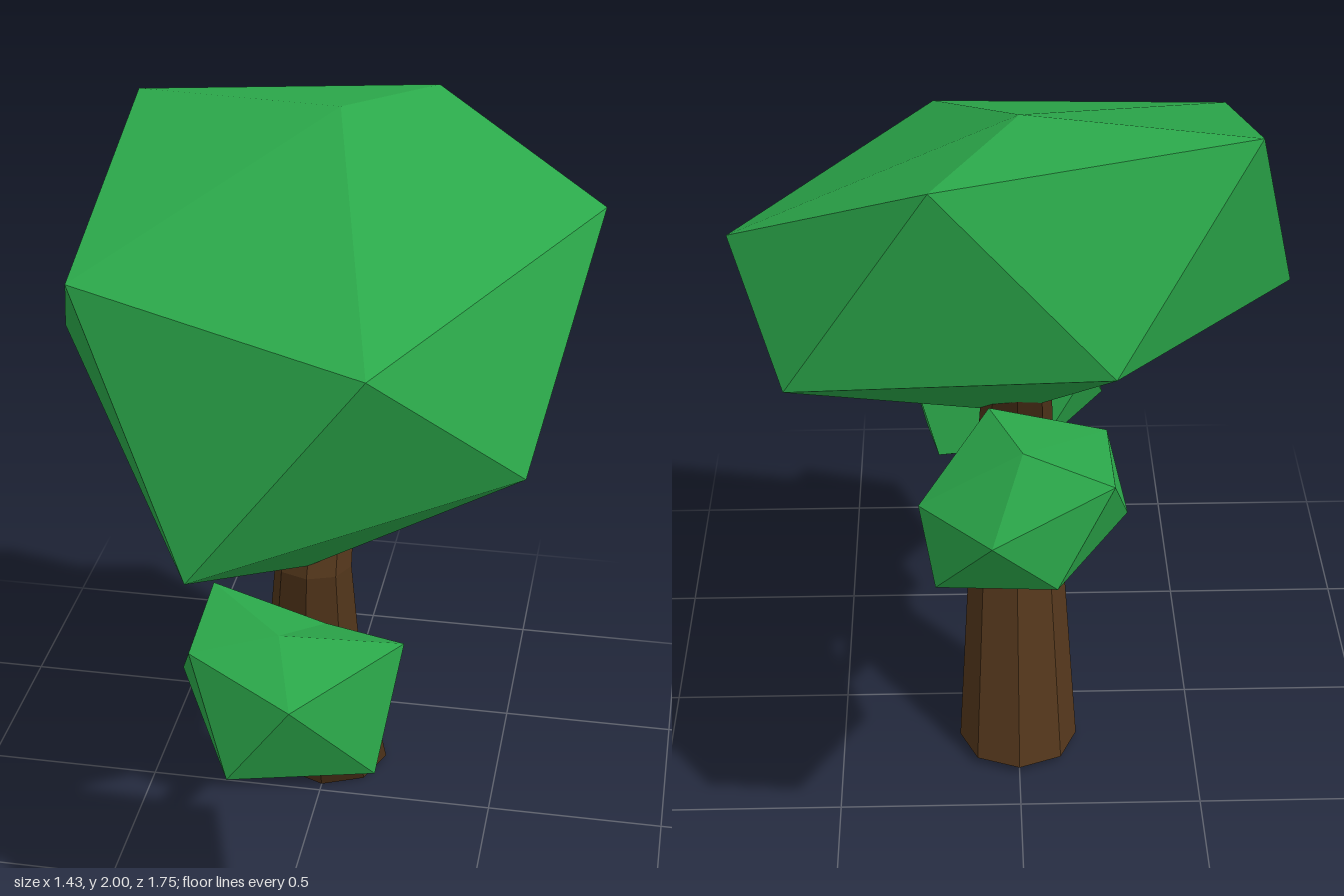
import * as THREE from 'three';

const leafMaterial = new THREE.MeshStandardMaterial({ color: 0x2ba84a, flatShading: true });
const barkMaterial = new THREE.MeshStandardMaterial({ color: 0x50341a, flatShading: true });

// Builds a faceted mesh from a list of triangles, each of three [x, y, z] corners
function facetMesh(name, triangles, material) {
  const geometry = new THREE.BufferGeometry();
  geometry.setAttribute('position', new THREE.Float32BufferAttribute(triangles.flat(2), 3));
  geometry.computeVertexNormals();
  const mesh = new THREE.Mesh(geometry, material);
  mesh.name = name;
  return mesh;
}

// Leaf clump: a lopsided icosahedron of two poles and two staggered rings of five
function leafClump(name, top, upper, lower, bottom) {
  const triangles = [];
  for (let i = 0; i < 5; i++) {
    const j = (i + 1) % 5;
    triangles.push(
      [top, upper[i], upper[j]],
      [upper[i], lower[i], upper[j]],
      [lower[i], lower[j], upper[j]],
      [bottom, lower[j], lower[i]],
    );
  }
  return facetMesh(name, triangles, leafMaterial);
}

// Limb: a chain of polygon rings [z, y, radius, tilt in degrees], capped at both ends
function limb(name, sections, sides) {
  const rings = sections.map(([z, y, r, tilt]) => {
    const a = THREE.MathUtils.degToRad(tilt);
    return Array.from({ length: sides }, (_, k) => {
      const t = (k / sides) * Math.PI * 2;
      const d = r * Math.cos(t);
      return [r * Math.sin(t), y + d * Math.sin(a), z + d * Math.cos(a)];
    });
  });
  const triangles = [];
  const first = rings[0];
  const last = rings[rings.length - 1];
  for (let k = 0; k < sides; k++) {
    const n = (k + 1) % sides;
    for (let i = 0; i < rings.length - 1; i++) {
      const [a, b, c, d] = [rings[i][k], rings[i][n], rings[i + 1][n], rings[i + 1][k]];
      triangles.push([a, b, c], [a, c, d]);
    }
    if (k > 0 && k < sides - 1) {
      triangles.push([first[0], first[n], first[k]], [last[0], last[k], last[n]]);
    }
  }
  return facetMesh(name, triangles, barkMaterial);
}

export function createModel() {
  const tree = new THREE.Group();
  tree.name = 'tree';

  // Bent trunk and its two side branches
  tree.add(limb('trunk', [
    [-0.198, 0.01, 0.167, -3],
    [0.093, 0.595, 0.127, 0],
    [0.1, 0.835, 0.106, 4],
    [-0.1, 1.2, 0.09, 28],
  ], 8));
  tree.add(limb('frontBranch', [
    [0.08, 0.475, 0.042, -75],
    [0.18, 0.49, 0.036, -76],
    [0.36, 0.55, 0.027, -58],
    [0.41, 0.61, 0.027, -38],
    [0.46, 0.68, 0.024, -36],
  ], 6));
  tree.add(limb('backBranch', [
    [0.04, 0.66, 0.042, 88],
    [-0.12, 0.672, 0.036, 70],
    [-0.33, 0.805, 0.03, 57],
    [-0.47, 0.89, 0.026, 57],
  ], 6));

  // Large crown on top
  tree.add(leafClump('crown', [0, 2, -0.31],
    [[0.22, 1.64, 0.61], [0.715, 1.73, -0.4], [0.22, 1.96, -0.66], [-0.58, 1.98, -0.42], [-0.58, 1.73, 0.37]],
    [[0.58, 1.21, 0.22], [0.58, 1.415, -0.62], [-0.22, 1.5, -0.73], [-0.72, 1.415, -0.07], [-0.22, 1.08, 0.68]],
    [0, 0.87, 0.18]));

  // Small clump on the front branch
  tree.add(leafClump('frontClump', [0, 0.9, 0.59],
    [[0.08, 0.855, 0.87], [0.31, 0.855, 0.5], [0.08, 0.8, 0.35], [-0.22, 0.9, 0.36], [-0.22, 0.865, 0.66]],
    [[0.26, 0.545, 0.645], [0.22, 0.64, 0.315], [-0.08, 0.66, 0.33], [-0.27, 0.73, 0.52], [-0.08, 0.64, 0.87]],
    [0, 0.51, 0.55]));

  // Small clump on the back branch
  tree.add(leafClump('backClump', [0, 1.25, -0.65],
    [[0.08, 1.225, -0.39], [0.26, 1.095, -0.64], [0.08, 1.12, -0.875], [-0.22, 1.225, -0.77], [-0.22, 1.18, -0.43]],
    [[0.22, 0.87, -0.3], [0.22, 0.91, -0.73], [-0.08, 0.98, -0.845], [-0.27, 1, -0.54], [-0.08, 0.905, -0.1]],
    [0, 0.745, -0.47]));

  return tree;
}
